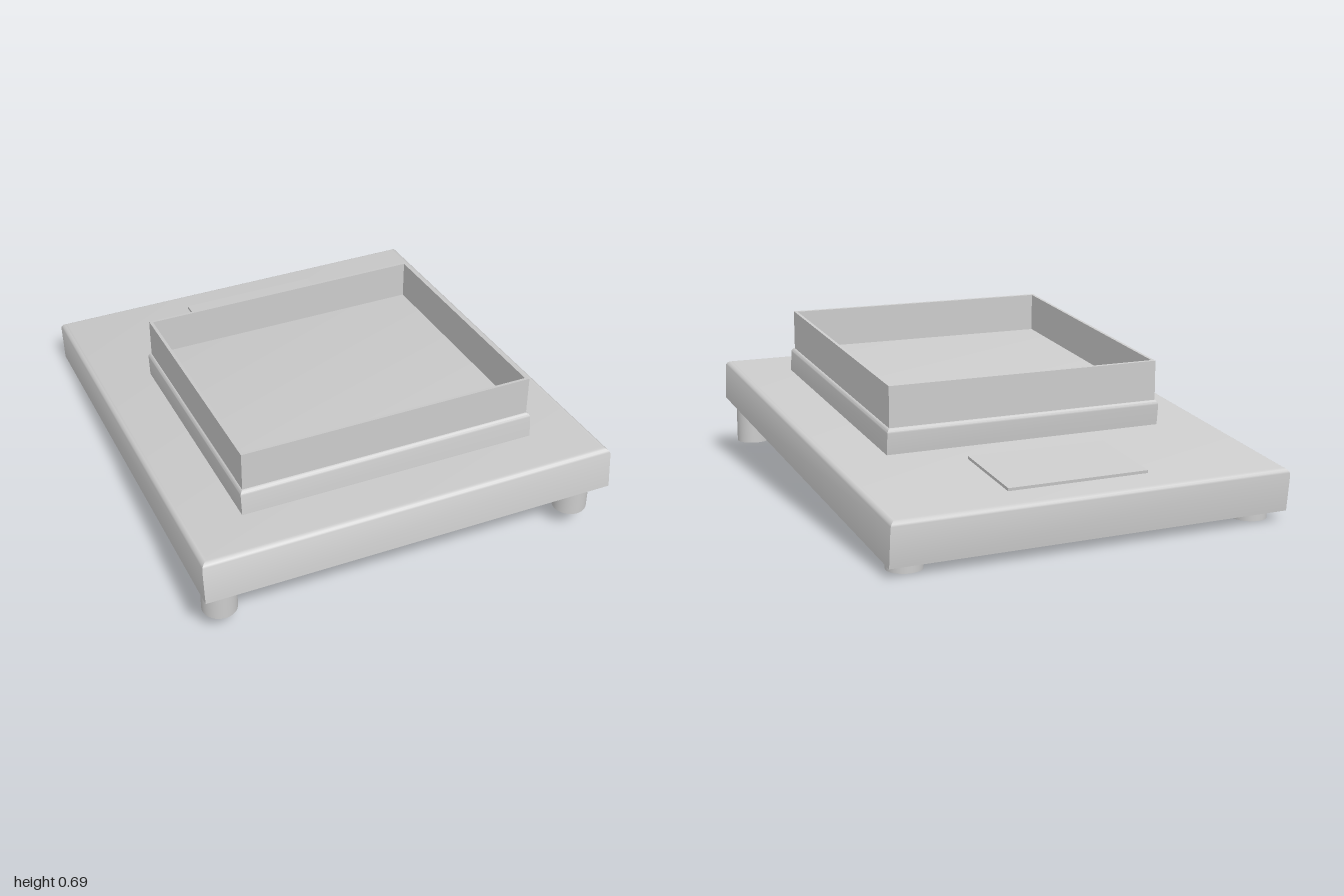
import * as THREE from 'three';
import { toCreasedNormals } from 'three/addons/utils/BufferGeometryUtils.js';

const material = new THREE.MeshStandardMaterial({ color: 0xcccccc });
const TILT = Math.atan(0.116);

function add(parent, name, geometry, x = 0, y = 0, z = 0) {
  const mesh = new THREE.Mesh(geometry, material);
  mesh.name = name;
  mesh.position.set(x, y, z);
  parent.add(mesh);
  return mesh;
}

// Block standing on y = 0 with rounded top edges that meet in mitred corners
function mitredBlock(halfX, halfZ, height, radius, steps = 5) {
  const rings = [[0, 0]];
  for (let i = 0; i <= steps; i++) {
    const a = (i / steps) * Math.PI / 2;
    rings.push([radius * (1 - Math.cos(a)), height - radius * (1 - Math.sin(a))]);
  }
  const positions = [];
  const index = [];
  for (const [inset, y] of rings) {
    for (const [sx, sz] of [[-1, 1], [1, 1], [1, -1], [-1, -1]]) {
      positions.push(sx * (halfX - inset), y, sz * (halfZ - inset));
    }
  }
  for (let r = 0; r < rings.length - 1; r++) {
    for (let c = 0; c < 4; c++) {
      const a = r * 4 + c;
      const b = r * 4 + (c + 1) % 4;
      index.push(a, b, b + 4, a, b + 4, a + 4);
    }
  }
  const t = (rings.length - 1) * 4;
  index.push(t, t + 1, t + 2, t, t + 2, t + 3, 0, 2, 1, 0, 3, 2);
  const geometry = new THREE.BufferGeometry();
  geometry.setAttribute('position', new THREE.Float32BufferAttribute(positions, 3));
  geometry.setIndex(index);
  return toCreasedNormals(geometry, 0.6);
}

// Thin open rectangular wall whose rims follow the slope while its sides stay upright
function slopedFrame(halfX, halfZ, height, wall) {
  const rectangle = (path, x, z) =>
    path.moveTo(-x, -z).lineTo(x, -z).lineTo(x, z).lineTo(-x, z).closePath();
  const shape = rectangle(new THREE.Shape(), halfX, halfZ);
  shape.holes.push(rectangle(new THREE.Path(), halfX - wall, halfZ - wall));
  const geometry = new THREE.ExtrudeGeometry(shape, { depth: height, bevelEnabled: false });
  geometry.rotateX(-Math.PI / 2);
  const p = geometry.attributes.position;
  for (let i = 0; i < p.count; i++) p.setY(i, p.getY(i) + p.getZ(i) * Math.tan(TILT));
  geometry.computeVertexNormals();
  return geometry;
}

export function createModel() {
  const model = new THREE.Group();
  model.name = 'slopedStand';

  // Tilted body; its local y = 0 is the top face of the slab
  const body = new THREE.Group();
  body.name = 'tiltedBody';
  body.position.set(0, 0.332, -0.01);
  body.rotation.x = -TILT;
  model.add(body);

  const thickness = 0.177;
  add(body, 'baseSlab', mitredBlock(0.847, 0.997, thickness, 0.027), 0, -thickness, 0);
  add(body, 'raisedPlinth', mitredBlock(0.61, 0.574, 0.107, 0.02), 0, 0, 0.201);
  add(body, 'rearPanel', new THREE.BoxGeometry(0.6, 0.024, 0.352), 0.025, 0, -0.684);

  // Open frame on the plinth
  add(model, 'openFrame', slopedFrame(0.598, 0.5575, 0.185, 0.013), 0, 0.441, 0.1775);

  // Upright feet: long at the front, short at the back
  const feet = [
    ['frontRightFoot', -0.75, 0.862, 0.095, 0.29],
    ['frontLeftFoot', 0.765, 0.862, 0.095, 0.29],
    ['backRightFoot', -0.748, -0.87, 0, 0.09],
    ['backLeftFoot', 0.745, -0.87, 0, 0.09],
  ];
  for (const [name, x, z, bottom, top] of feet) {
    const height = top - bottom;
    add(model, name, new THREE.CylinderGeometry(0.07, 0.07, height, 40), x, bottom + height / 2, z);
  }
  return model;
}
